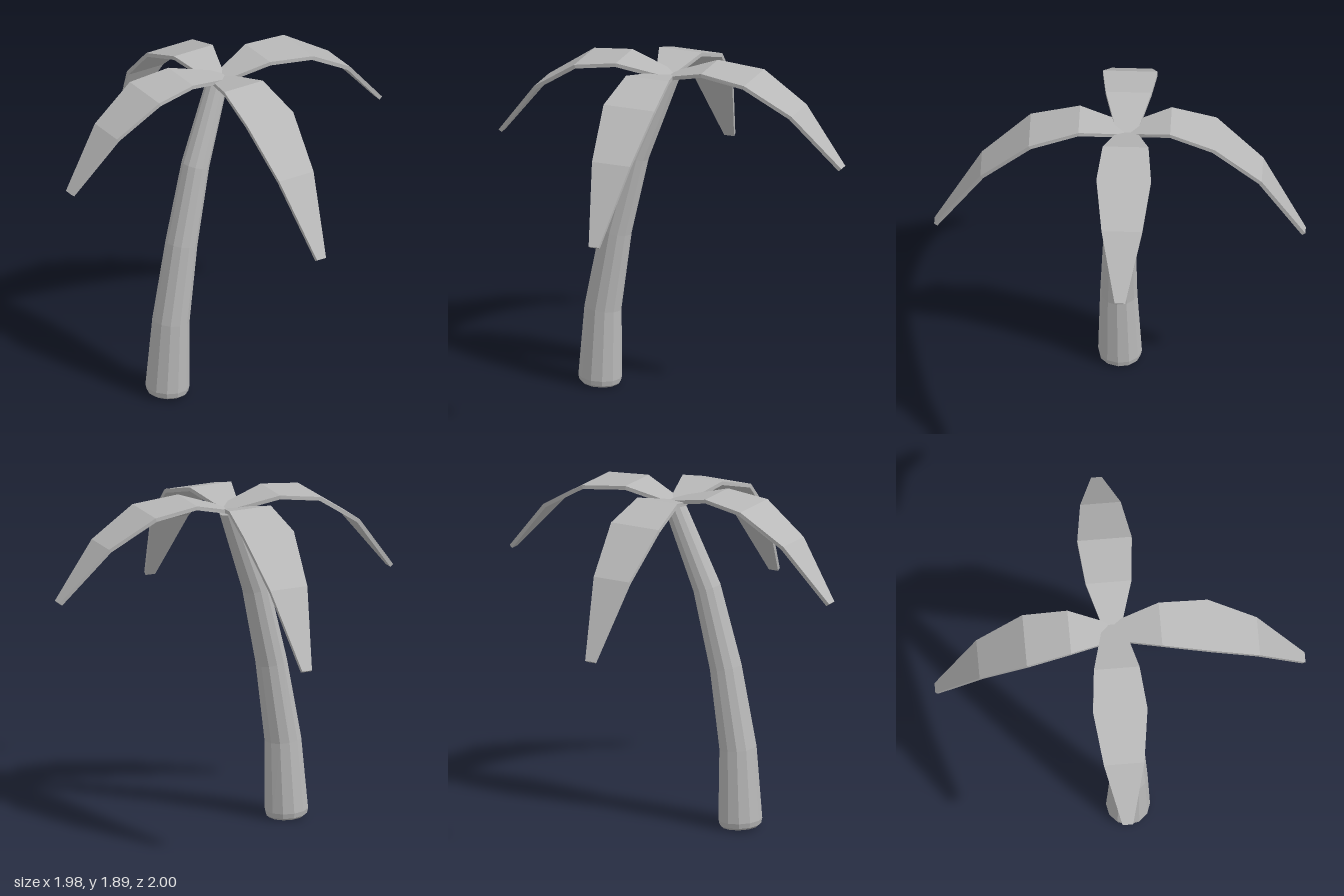
import * as THREE from 'three';

// Joins rings of equal point count into a closed, flat-shaded solid with capped ends.
function loft(rings) {
  const pos = [], idx = [], n = rings[0].length;
  rings.forEach((ring) => ring.forEach((p) => pos.push(p.x, p.y, p.z)));
  for (let r = 0; r < rings.length - 1; r++) {
    for (let i = 0; i < n; i++) {
      const j = (i + 1) % n, a = r * n, b = a + n;
      idx.push(a + i, a + j, b + j, a + i, b + j, b + i);
    }
  }
  const last = (rings.length - 1) * n;
  for (let i = 1; i < n - 1; i++) {
    idx.push(0, i + 1, i);
    idx.push(last, last + i, last + i + 1);
  }
  const geometry = new THREE.BufferGeometry();
  geometry.setAttribute('position', new THREE.Float32BufferAttribute(pos, 3));
  geometry.setIndex(idx);
  const flat = geometry.toNonIndexed();
  flat.computeVertexNormals();
  return flat;
}

// Leaning trunk: each ring is [x, y, z, radius, tilt towards +x].
function trunkGeometry() {
  const sides = 12;
  const stations = [
    [-0.402, 0.010, -0.06, 0.100, 0.05],
    [-0.402, 0.022, -0.06, 0.114, 0.05],
    [-0.402, 0.050, -0.06, 0.120, 0.05],
    [-0.385, 0.450, -0.05, 0.102, 0.11],
    [-0.312, 0.900, -0.043, 0.088, 0.20],
    [-0.205, 1.340, -0.045, 0.077, 0.31],
    [-0.015, 1.815, -0.058, 0.058, 0.38],
  ];
  return loft(stations.map(([x, y, z, r, tilt]) => {
    const ring = [];
    for (let i = 0; i < sides; i++) {
      const a = ((i + 0.5) / sides) * Math.PI * 2;
      const u = Math.cos(a) * r;
      ring.push(new THREE.Vector3(x + u * Math.cos(tilt), y - u * Math.sin(tilt), z - Math.sin(a) * r));
    }
    return ring;
  }));
}

// Drooping leaf along local +x: matching lists of distance and height, with shared widths.
function leafGeometry(distances, heights) {
  const widths = [0.1, 0.25, 0.298, 0.222, 0.058];
  const thickness = 0.022;
  return loft(distances.map((d, i) => {
    // Thickness is measured across the slope of the leaf.
    const a = Math.max(i - 1, 0), b = Math.min(i + 1, distances.length - 1);
    const slope = Math.atan2(heights[b] - heights[a], distances[b] - distances[a]);
    const dx = Math.sin(slope) * thickness, dy = -Math.cos(slope) * thickness;
    const w = widths[i] / 2, y = heights[i];
    return [
      new THREE.Vector3(d, y, w),
      new THREE.Vector3(d + dx, y + dy, w),
      new THREE.Vector3(d + dx, y + dy, -w),
      new THREE.Vector3(d, y, -w),
    ];
  }));
}

export function createModel() {
  const model = new THREE.Group();
  model.name = 'palmTree';
  const grey = new THREE.MeshStandardMaterial({ color: 0xb8b8b8, flatShading: true });
  grey.name = 'plainGrey';

  const trunk = new THREE.Mesh(trunkGeometry(), grey);
  trunk.name = 'trunk';
  model.add(trunk);

  // Four leaves a quarter turn apart, each with its own droop.
  const leaves = [
    { name: 'leftLeaf', x: -0.015, z: -0.037, turn: 0,
      d: [0, 0.235, 0.497, 0.76, 1.02], y: [1.82, 1.893, 1.865, 1.71, 1.415] },
    { name: 'frontLeaf', x: -0.046, z: -0.01, turn: 1,
      d: [-0.04, 0.23, 0.5, 0.765, 1.02], y: [1.82, 1.878, 1.797, 1.56, 1.165] },
    { name: 'rightLeaf', x: 0.015, z: -0.028, turn: 2,
      d: [0, 0.296, 0.53, 0.78, 1.02], y: [1.82, 1.89, 1.858, 1.69, 1.38] },
    { name: 'backLeaf', x: -0.054, z: 0.005, turn: 3,
      d: [0.05, 0.286, 0.53, 0.785, 1.02], y: [1.82, 1.878, 1.797, 1.56, 1.155] },
  ];
  for (const l of leaves) {
    const leaf = new THREE.Mesh(leafGeometry(l.d, l.y), grey);
    leaf.name = l.name;
    leaf.position.set(l.x, 0, l.z);
    leaf.rotation.y = -(0.2 + (l.turn * Math.PI) / 2);
    model.add(leaf);
  }
  return model;
}
